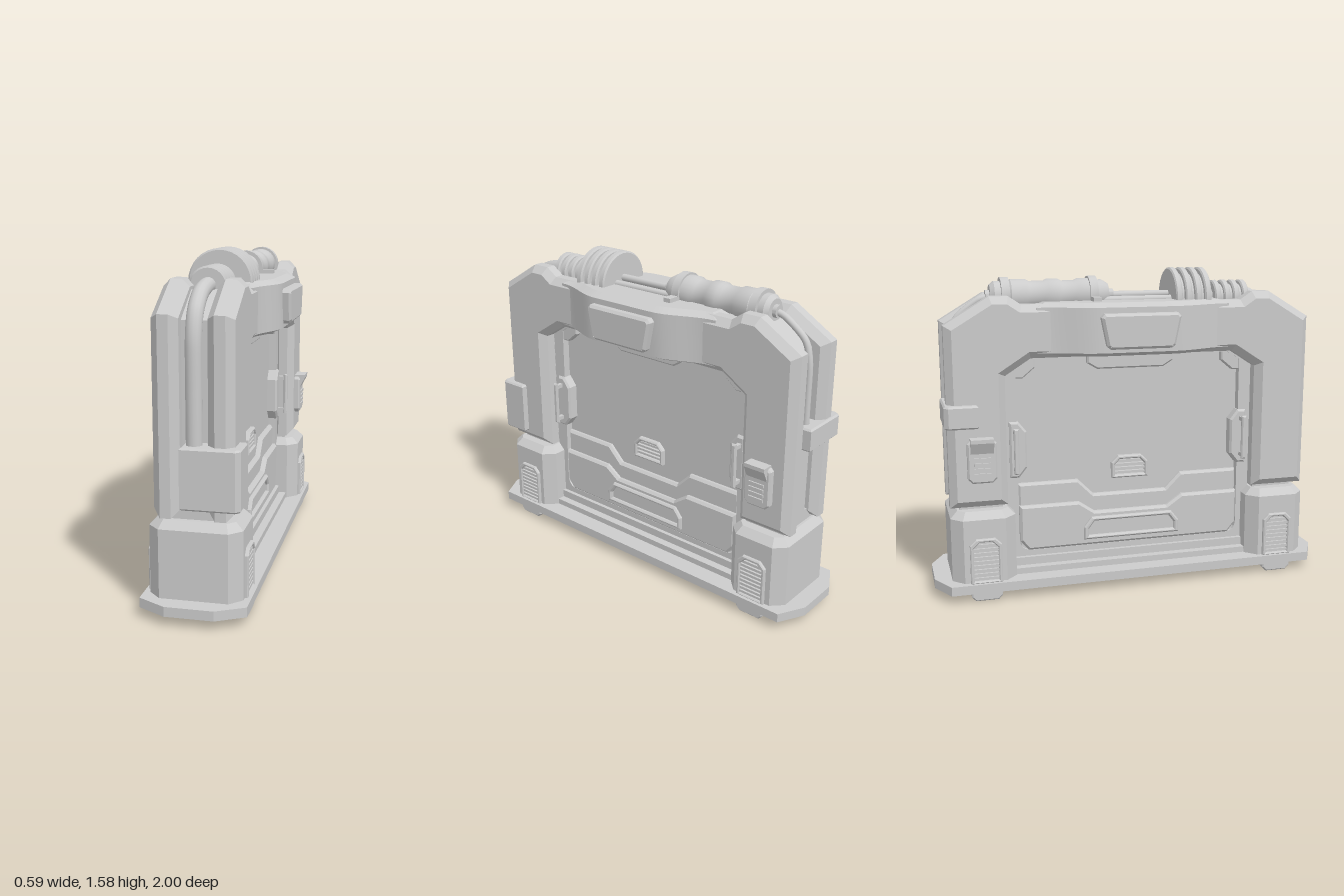
import * as THREE from 'three';
import { toCreasedNormals } from 'three/addons/utils/BufferGeometryUtils.js';

const mat = new THREE.MeshStandardMaterial({ color: 0xcccccc, side: THREE.DoubleSide });

export function createModel() {
  const model = new THREE.Group();

  const add = (name, geo, parent = model) => {
    const m = new THREE.Mesh(geo, mat);
    m.name = name;
    parent.add(m);
    return m;
  };
  const box = (name, x0, x1, y0, y1, z0, z1, parent) => add(name,
    new THREE.BoxGeometry(x1 - x0, y1 - y0, z1 - z0)
      .translate((x0 + x1) / 2, (y0 + y1) / 2, (z0 + z1) / 2), parent);
  const toShape = pts => new THREE.Shape(pts.map(p => new THREE.Vector2(...p)));
  const extrude = (shape, len, size, thick) => new THREE.ExtrudeGeometry(shape, {
    depth: len - 2 * thick, bevelEnabled: size > 0, bevelSegments: 1,
    bevelSize: size, bevelOffset: -size, bevelThickness: thick, curveSegments: 6
  });
  // Side profile in (z, y), extruded across x
  const side = (name, outline, x0, x1, bevel = 0, parent = model, hole = null) => {
    const shape = outline instanceof THREE.Shape ? outline : toShape(outline);
    if (hole) shape.holes.push(toShape(hole));
    return add(name, extrude(shape, x1 - x0, bevel, bevel).rotateY(-Math.PI / 2).translate(x1 - bevel, 0, 0), parent);
  };
  // Plan outline in (x, z), extruded up y
  const plan = (name, pts, y0, y1, size = 0, thick = size) => add(name,
    toCreasedNormals(extrude(toShape(pts.map(([x, z]) => [x, -z])), y1 - y0, size, thick)
      .rotateX(-Math.PI / 2).translate(0, y0 + thick, 0), 0.3));
  // Turned part along z; profile of [radius, z]
  const turned = (name, prof, y, x = 0, seg = 24) => add(name, toCreasedNormals(
    new THREE.LatheGeometry(prof.map(p => new THREE.Vector2(...p)), seg)
      .rotateX(Math.PI / 2).translate(x, y, 0), 0.6));
  const mirrorPts = half => [...half, ...half.map(([z, y]) => [-z, y]).reverse()];
  const tube = (name, pts, r) => add(name, new THREE.TubeGeometry(
    new THREE.CatmullRomCurve3(pts.map(p => new THREE.Vector3(...p)), false, 'catmullrom', 0.4), 32, r, 14));
  const bothSides = build => {
    for (const s of [1, -1]) {
      const g = new THREE.Group();
      g.name = s > 0 ? 'leftSide' : 'rightSide';
      g.scale.x = s;
      build(g);
      model.add(g);
    }
  };

  // Base plate
  plan('basePlate', [[-0.11, -1], [0.11, -1], [0.24, -0.93], [0.24, 0.93], [0.11, 1], [-0.11, 1], [-0.24, 0.93], [-0.24, -0.93]], 0.045, 0.09);

  // Lower pillars and necks
  for (const s of [1, -1]) {
    const c = 0.76 * s, w = 0.21, d = 0.157, k = 0.055;
    plan('lowerPillar', [[-w + k, c - d], [w - k, c - d], [w, c - d + k], [w, c + d - k],
      [w - k, c + d], [-w + k, c + d], [-w, c + d - k], [-w, c - d + k]], 0.05, 0.44, 0.035);
    box('neck', -0.13, 0.13, 0.42, 0.5, c - 0.11, c + 0.1);
  }

  // Arch: two bevelled rails with a recessed core between them
  const arch = mirrorPts([[0.55, 1.42], [0.61, 1.46], [0.7, 1.46], [0.915, 1.33], [0.915, 0.455],
    [0.635, 0.455], [0.635, 1.085], [0.51, 1.165]]);
  bothSides(g => side('archRail', arch, 0.062, 0.18, 0.035, g));
  side('archCore', mirrorPts([[0.45, 1.18], [0.66, 1.08], [0.66, 0.47], [0.84, 0.47],
    [0.84, 1.3], [0.67, 1.41]]), -0.09, 0.09);

  // Swollen middle of the top beam
  const halfWidth = z => 0.172 + 0.083 * (1 - THREE.MathUtils.smoothstep(Math.abs(z), 0.18, 0.47));
  const edge = [];
  for (let i = 0; i <= 24; i++) {
    const z = -0.48 + i * 0.04;
    edge.push([halfWidth(z), z]);
  }
  plan('beamBulge', [...edge, ...edge.map(([x, z]) => [-x, z]).reverse()], 1.17, 1.425, 0.045, 0.02);

  // Door slab and lower sill
  side('doorSlab', mirrorPts([[0.65, 0.09], [0.65, 1.1], [0.51, 1.19]]), -0.05, 0.05);
  box('sill', -0.11, 0.11, 0.08, 0.16, -0.62, 0.62);
  box('sillStep', -0.15, 0.15, 0.08, 0.12, -0.62, 0.62);

  bothSides(g => {
    // Door surround with rounded lower corners
    const frame = toShape(mirrorPts([[0.64, 0.1], [0.64, 1.1], [0.53, 1.17]]));
    const hole = new THREE.Path();
    hole.moveTo(-0.575, 0.25).quadraticCurveTo(-0.575, 0.19, -0.515, 0.19).lineTo(0.515, 0.19)
      .quadraticCurveTo(0.575, 0.19, 0.575, 0.25).lineTo(0.575, 1.11).lineTo(0.52, 1.155)
      .lineTo(-0.52, 1.155).lineTo(-0.575, 1.11).closePath();
    frame.holes.push(hole);
    side('doorSurround', frame, 0.03, 0.09, 0, g);
    side('topTab', mirrorPts([[0.17, 1.09], [0.22, 1.12], [0.22, 1.18]]), 0.03, 0.085, 0.008, g);
    for (const s of [1, -1])
      side('cornerBracket', [[0.59, 1.06], [0.54, 1.06], [0.48, 1.11], [0.48, 1.17], [0.52, 1.17], [0.59, 1.12]]
        .map(([z, y]) => [z * s, y]), 0.03, 0.085, 0.006, g);

    // Stepped lower door panels and tray
    side('lowerPanel', mirrorPts([[0.575, 0.17], [0.575, 0.53], [0.27, 0.53], [0.19, 0.45]]), 0.03, 0.075, 0.012, g);
    side('lowerStep', mirrorPts([[0.53, 0.19], [0.572, 0.24], [0.572, 0.42], [0.27, 0.42], [0.19, 0.365]]), 0.03, 0.1, 0.012, g);
    side('trayFrame', mirrorPts([[0.25, 0.225], [0.25, 0.29], [0.21, 0.34]]), 0.06, 0.118, 0.008, g,
      mirrorPts([[0.225, 0.245], [0.225, 0.28], [0.195, 0.32]]));

    // Door vent
    side('doorVent', mirrorPts([[0.095, 0.525], [0.095, 0.605], [0.06, 0.64]]), 0.04, 0.075, 0.006, g,
      mirrorPts([[0.078, 0.54], [0.078, 0.595], [0.052, 0.622]]));
    for (let i = 0; i < 4; i++) box('ventSlat', 0.04, 0.068, 0.547 + i * 0.02, 0.558 + i * 0.02, -0.08, 0.08, g);

    for (const s of [1, -1]) {
      // Door handle
      side('handlePlate', [[0.615, 0.57], [0.57, 0.57], [0.53, 0.62], [0.53, 0.8], [0.57, 0.85], [0.615, 0.85]]
        .map(([z, y]) => [z * s, y]), 0.04, 0.105, 0.01, g);
      side('handleBar', [[0.575, 0.6], [0.6, 0.6], [0.6, 0.825], [0.575, 0.825]]
        .map(([z, y]) => [z * s, y]), 0.135, 0.155, 0.006, g);
      for (const y of [0.61, 0.795]) box('handleStub', 0.09, 0.145, y, y + 0.02, s * 0.588 - 0.01, s * 0.588 + 0.01, g);

      // Louvre on the lower pillar
      const c = 0.758 * s;
      const louvre = (w, y0, y1) => [[c - w, y0], [c + w, y0], [c + w, y1 - 0.03], [c + w - 0.03, y1], [c - w + 0.03, y1], [c - w, y1 - 0.03]];
      side('louvreFrame', louvre(0.077, 0.088, 0.312), 0.19, 0.226, 0.005, g, louvre(0.06, 0.1, 0.297));
      for (let i = 0; i < 9; i++)
        box('louvreSlat', 0.2, 0.22, 0.105 + i * 0.021, 0.117 + i * 0.021, c - 0.06, c + 0.06, g);

      // Foot
      side('foot', [[c - 0.055, 0], [c + 0.055, 0], [c + 0.075, 0.02], [c + 0.075, 0.05], [c - 0.075, 0.05], [c - 0.075, 0.02]],
        0.178, 0.225, 0.006, g);
    }

    // Window on the top beam
    side('windowFrame', mirrorPts([[0.15, 1.21], [0.168, 1.225], [0.196, 1.36], [0.18, 1.378]]), 0.2, 0.295, 0.012, g,
      mirrorPts([[0.145, 1.235], [0.168, 1.35]]));
    side('windowPane', mirrorPts([[0.15, 1.23], [0.175, 1.355]]), 0.2, 0.265, 0, g);

    // Hooded keypad on the rear pillar
    side('keypad', [[-0.808, 0.585], [-0.712, 0.585], [-0.69, 0.607], [-0.69, 0.778],
      [-0.712, 0.8], [-0.808, 0.8], [-0.83, 0.778], [-0.83, 0.607]], 0.16, 0.21, 0.008, g);
    add('keypadHood', extrude(toShape([[0.17, 0.803], [0.237, 0.803], [0.237, 0.785], [0.21, 0.73], [0.17, 0.73]]), 0.11, 0, 0)
      .translate(0, 0, -0.815), g);
    for (let i = 0; i < 4; i++) box('keypadKey', 0.2, 0.217, 0.62 + i * 0.025, 0.635 + i * 0.025, -0.8, -0.72, g);
  });

  // Boxes clamped to the pillar ends
  const corner = (x0, x1, z0, z1, k) => [[x0, z0], [x1, z0], [x1, z1 - k], [x1 - k, z1], [x0, z1]];
  plan('frontBox', corner(-0.05, 0.212, 0.785, 0.945, 0.02), 0.505, 0.778, 0.008);
  plan('rearStrap', corner(-0.05, 0.212, 0.77, 0.93, 0.02).map(([x, z]) => [-x, -z]), 0.85, 0.96, 0.008);
  box('rearLowerChannel', -0.035, 0.035, 0.47, 0.86, -0.875, -0.8);

  // Ribbed wheel and coil on the top
  const ribs = (z0, n, pitch, big, small) => {
    const p = [[0, z0]];
    for (let i = 0; i < n; i++) {
      const a = z0 + i * pitch, b = a + pitch * 0.68;
      p.push([big - 0.008, a], [big, a + 0.006], [big, b - 0.006], [big - 0.008, b]);
      if (i < n - 1) p.push([small, b], [small, a + pitch]);
      else p.push([0, b]);
    }
    return p;
  };
  turned('ribbedWheel', ribs(0.215, 4, 0.05, 0.152, 0.125), 1.424, 0, 32);
  turned('coil', ribs(0.442, 4, 0.049, 0.088, 0.068), 1.422);

  // Canister with clamps
  turned('canister', [[0, -0.7], [0.03, -0.7], [0.03, -0.68], [0.055, -0.68], [0.072, -0.66], [0.072, -0.59], [0.08, -0.58],
    [0.08, -0.51], [0.07, -0.49], [0.07, -0.42], [0.08, -0.4], [0.08, -0.35], [0.07, -0.33], [0.07, -0.27], [0.08, -0.25],
    [0.08, -0.2], [0.072, -0.19], [0.072, -0.13], [0.055, -0.1], [0.025, -0.1], [0.025, -0.07], [0, -0.07]], 1.45);
  for (const z of [-0.18, -0.61]) {
    turned('clampRing', [[0.06, z - 0.02], [0.09, z - 0.02], [0.09, z + 0.02], [0.06, z + 0.02]], 1.45);
    box('clampFoot', -0.145, 0.145, 1.405, 1.445, z - 0.02, z + 0.02);
  }

  // Rods and hoses
  for (const x of [-0.05, 0, 0.05])
    turned('rod', [[0, -0.14], [0.018, -0.14], [0.018, 0.23], [0, 0.23]], x ? 1.425 : 1.446, x, 12);
  turned('wheelAxle', [[0.045, 0.38], [0.045, 0.46]], 1.424);
  tube('frontHose', [[0, 1.425, 0.58], [0, 1.425, 0.66], [0, 1.4, 0.76], [0, 1.33, 0.84], [0, 1.22, 0.872], [0, 1, 0.875], [0, 0.76, 0.875]], 0.036);
  tube('rearCable', [[0, 1.45, -0.68], [0, 1.43, -0.74], [0, 1.35, -0.84], [0, 1.25, -0.868], [0, 1.1, -0.87], [0, 0.9, -0.87]], 0.016);

  return model;
}
